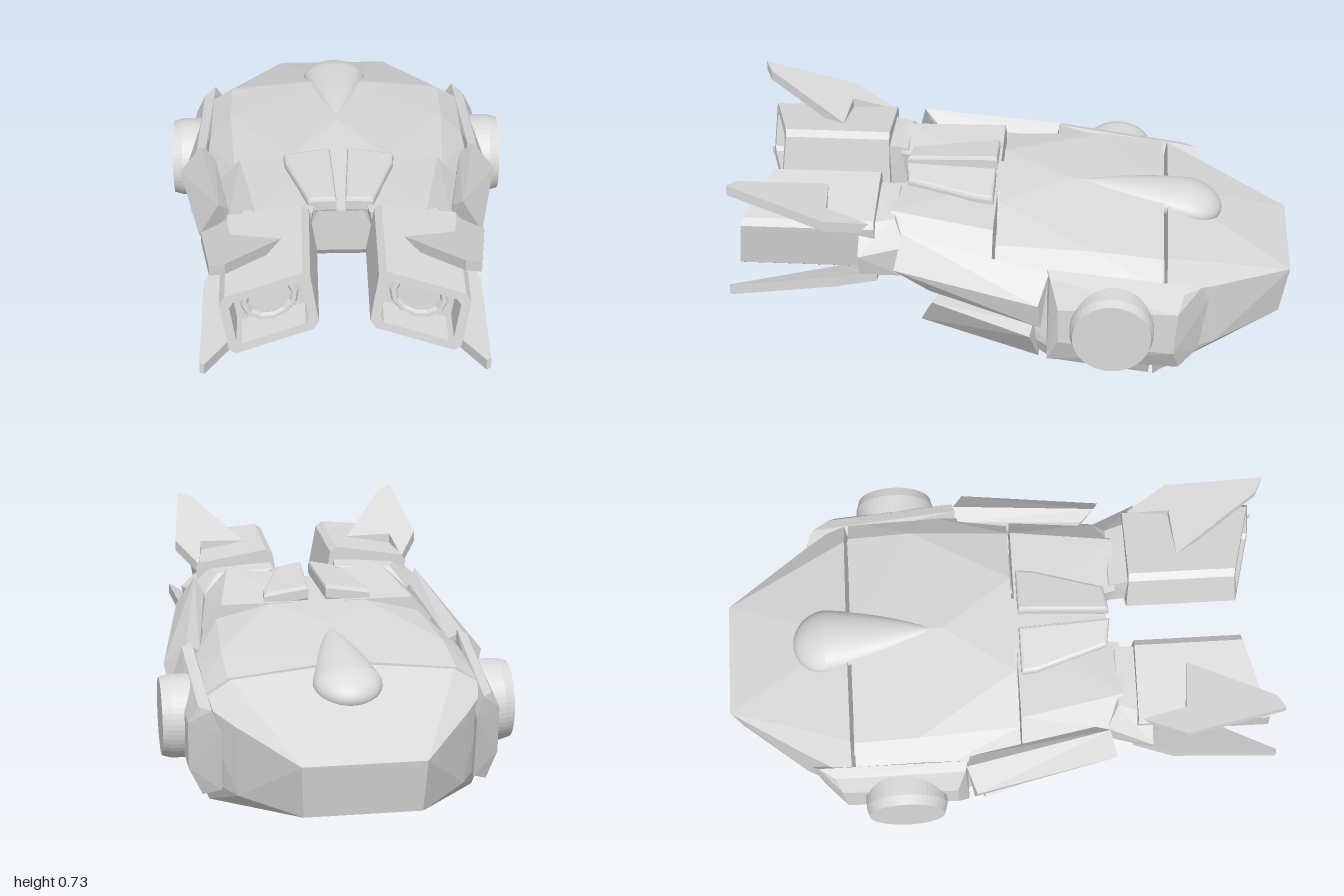
import * as THREE from 'three';
import { ConvexGeometry } from 'three/addons/geometries/ConvexGeometry.js';

const grey = new THREE.MeshStandardMaterial({ color: 0xdadada });
grey.name = 'light grey';

const V = (p) => new THREE.Vector3(...p);

// Faceted solid around a few corner points
const solid = (pts) => new ConvexGeometry(pts.map(V));

// Same, with every corner repeated across x = 0
const symmetricSolid = (pts) => solid(pts.flatMap(([x, y, z]) => (x === 0 ? [[x, y, z]] : [[x, y, z], [-x, y, z]])));

// Move every vertex by a rule
function warp(geo, rule, flat = true) {
  const g = flat && geo.index ? geo.toNonIndexed() : geo;
  const p = g.attributes.position;
  for (let i = 0; i < p.count; i++) p.setXYZ(i, ...rule(p.getX(i), p.getY(i), p.getZ(i)));
  g.computeVertexNormals();
  return g;
}

// Flat plate drawn in x/z, its top surface following height(x, z)
function plate(outline, thickness, height, bevel = 0) {
  const shape = new THREE.Shape(outline.map(([x, z]) => new THREE.Vector2(x, z)));
  const g = new THREE.ExtrudeGeometry(shape, {
    depth: thickness, bevelEnabled: bevel > 0, bevelSize: bevel, bevelThickness: bevel,
    bevelOffset: -bevel, bevelSegments: 2,
  });
  g.rotateX(Math.PI / 2);
  return warp(g, (x, y, z) => [x, y + height(x, z), z]);
}

// Rectangle outline with cut corners
function cutRect(target, w, h, c) {
  const a = w / 2, b = h / 2;
  const pts = [[a - c, -b], [a, -b + c], [a, b - c], [a - c, b], [-a + c, b], [-a, b - c], [-a, -b + c], [-a + c, -b]];
  target.setFromPoints(pts.map(([x, y]) => new THREE.Vector2(x, y)));
  return target;
}

// Reflected copy with the winding repaired
function mirrored(geo) {
  const g = geo.index ? geo.toNonIndexed() : geo.clone();
  for (const name of ['position', 'normal']) {
    const a = g.attributes[name];
    for (let i = 0; i < a.count; i += 3) {
      const t = [0, 2, 1].map((k) => [-a.getX(i + k), a.getY(i + k), a.getZ(i + k)]);
      t.forEach((v, k) => a.setXYZ(i + k, ...v));
    }
  }
  return g;
}

export function createModel() {
  const model = new THREE.Group();
  const add = (name, geo) => {
    const m = new THREE.Mesh(geo, grey);
    m.name = name;
    model.add(m);
  };
  const pair = (name, geo) => {
    add(name + 'Left', geo);
    add(name + 'Right', mirrored(geo));
  };

  // Front shell
  add('frontShell', symmetricSolid([
    [0.18, 0.53, 0.06], [0.38, 0.48, 0.06], [0.46, 0.4, 0.06], [0, 0.53, -0.2],
    [0.4, 0.48, -0.3], [0.4, 0.455, -0.535], [0, 0.5, -0.535],
    [0.505, 0.4, -0.25], [0.505, 0.385, -0.535],
    [0.505, 0.1, -0.495], [0.47, 0.008, -0.495], [0.5, 0.12, -0.15], [0.465, 0.05, -0.15], [0.45, 0.22, 0.05],
  ]));

  // Sloping underside that rises to the chin
  add('underside', symmetricSolid([
    [0.13, 0.33, 0.36], [0.14, 0.36, 0.36], [0.24, 0.26, 0.22], [0.37, 0.17, 0.08],
    [0.465, 0.05, -0.15], [0.45, 0.22, 0], [0.2, 0.4, 0],
  ]));

  // Rear shell
  add('rearShell', symmetricSolid([
    [0, 0.495, -0.55], [0.39, 0.455, -0.55], [0.505, 0.385, -0.55], [0.505, 0.1, -0.51], [0.47, 0.004, -0.51],
    [0.36, 0.435, -0.61], [0.4, 0.35, -0.72], [0.39, 0.1, -0.73],
    [0.21, 0.3, -1], [0.2, 0.11, -0.97],
  ]));
  add('shellCore', new THREE.BoxGeometry(0.84, 0.3, 0.2).translate(0, 0.23, -0.52));

  // Teardrop boss along the top
  const drop = new THREE.SphereGeometry(1, 32, 20);
  add('teardrop', warp(drop, (x, y, z) => {
    const round = Math.sqrt(Math.max(1 - z * z, 0));
    const k = z > 0 && round > 1e-4 ? (1 - z) * (1 + 0.5 * z) / round : 1;
    const wz = -0.63 + z * (z > 0 ? 0.4 : 0.12);
    const base = 0.525 - 0.19 * Math.max(0, -0.23 - wz);
    return [x * k * 0.12, base + y * k * 0.065, wz];
  }, false));

  // Central neck between the arms
  add('neck', symmetricSolid([
    [0.08, 0.53, 0.4], [0.15, 0.36, 0.4], [0.13, 0.33, 0.38],
    [0.1, 0.53, 0.05], [0.2, 0.34, 0.05],
  ]));
  pair('neckPlate', plate([[0.032, 0.08], [0.2, 0.08], [0.195, 0.14], [0.115, 0.395], [0.015, 0.41]],
    0.035, (x) => 0.58 - 0.15 * x, 0.012));

  // Arms running forward from the shell
  pair('arm', solid([
    [0.04, 0.53, 0.07], [0.36, 0.53, 0.07], [0.46, 0.42, 0.07], [0.42, 0.28, 0.07], [0.12, 0.32, 0.07],
    [0.1, 0.55, 0.44], [0.3, 0.56, 0.44], [0.4, 0.47, 0.4], [0.38, 0.36, 0.42], [0.13, 0.36, 0.42],
  ]));
  pair('wrist', solid([
    [0.12, 0.56, 0.42], [0.34, 0.55, 0.42], [0.4, 0.47, 0.38], [0.4, 0.35, 0.4], [0.13, 0.38, 0.42],
    [0.13, 0.57, 0.54], [0.38, 0.55, 0.54], [0.47, 0.47, 0.54], [0.45, 0.38, 0.54], [0.13, 0.41, 0.54],
  ]));
  pair('wristBracket', solid([
    [0.14, 0.36, 0.52], [0.15, 0.35, 0.3], [0.3, 0.33, 0.3], [0.32, 0.35, 0.54],
    [0.21, 0.25, 0.52], [0.25, 0.27, 0.56],
  ]));

  // Slanted outer arm panels
  pair('armPanel', solid([
    [0.43, 0.55, 0.385], [0.5, 0.44, 0.41], [0.48, 0.345, 0.29], [0.4, 0.5, 0.335], [0.38, 0.38, 0.29],
    [0.51, 0.455, -0.135], [0.59, 0.37, -0.1], [0.57, 0.265, -0.11], [0.46, 0.42, -0.12], [0.48, 0.27, -0.1],
  ]));

  // Lower bars, running from the chin out to the side housings
  pair('lowerBar', solid([
    [0.47, 0.285, 0.28], [0.39, 0.155, 0.33], [0.56, 0.215, -0.07], [0.48, 0.075, -0.1],
    [0.41, 0.285, 0.26], [0.345, 0.17, 0.31], [0.5, 0.23, -0.08], [0.42, 0.1, -0.1],
  ]));

  // Side housings and round caps
  pair('sideHousing', solid([
    [0.49, 0.46, -0.13], [0.525, 0.445, -0.14], [0.47, 0.39, -0.67], [0.51, 0.385, -0.61],
    [0.565, 0.34, -0.17], [0.545, 0.32, -0.59], [0.44, 0.32, -0.7], [0.44, 0.1, -0.67],
    [0.565, 0.2, -0.17], [0.545, 0.15, -0.58], [0.5, 0.06, -0.6], [0.53, 0.1, -0.13], [0.46, 0.08, -0.13],
  ]));
  const cap = new THREE.LatheGeometry(
    [[0, 0.105], [0.126, 0.105], [0.138, 0.105], [0.148, 0.07], [0.148, 0]].reverse()
      .map(([r, h]) => new THREE.Vector2(r, h)), 48);
  pair('roundCap', warp(cap, (x, y, z) => [0.52 + y, 0.265 - x, -0.36 + z]));

  // Forearm blocks: hollow front, the face angled inward, the whole block tilted
  const place = (geo) => warp(geo, (x, y, z) => [x, y, 0.5 + z * (0.425 + 0.27 * x - 0.1 * y)])
    .rotateZ(-0.16).translate(0.25, 0.488, 0);
  const block = (z0, z1, hole) => {
    const shape = cutRect(new THREE.Shape(), 0.305, 0.22, 0.022);
    if (hole) shape.holes.push(cutRect(new THREE.Path(), ...hole));
    const g = new THREE.ExtrudeGeometry(shape, { depth: z1 - z0, bevelEnabled: false });
    return place(g.translate(0, 0, z0));
  };
  pair('forearm', block(-0.03, 0.72));
  pair('forearmRim', block(0.72, 1, [0.245, 0.16, 0.015]));
  pair('lensRing', place(new THREE.TorusGeometry(0.086, 0.014, 6, 12).scale(1, 0.87, 2.5).translate(0, 0, 0.78)));
  pair('lens', place(new THREE.CylinderGeometry(0.08, 0.085, 0.06, 24).rotateX(Math.PI / 2)
    .scale(1, 0.87, 1).translate(0, 0, 0.74)));

  // Notched upper fins, rising toward the tips
  pair('upperFin', plate(
    [[0.44, 0.99], [0.39, 0.965], [0.21, 0.67], [0.38, 0.655], [0.4, 0.5], [0.48, 0.65]],
    0.04, (x, z) => 0.735 + 0.34 * (z - 0.99) + 0.08 * (x - 0.44)));

  // Lower fins, dropping toward the centre
  pair('lowerFin', plate(
    [[0.485, 1], [0.47, 1], [0.24, 0.58], [0.18, 0.5], [0.43, 0.48], [0.48, 0.62]],
    0.04, (x, z) => 0.38 + 0.45 * (x - 0.43) - 0.13 * (z - 0.52)));

  return model;
}
